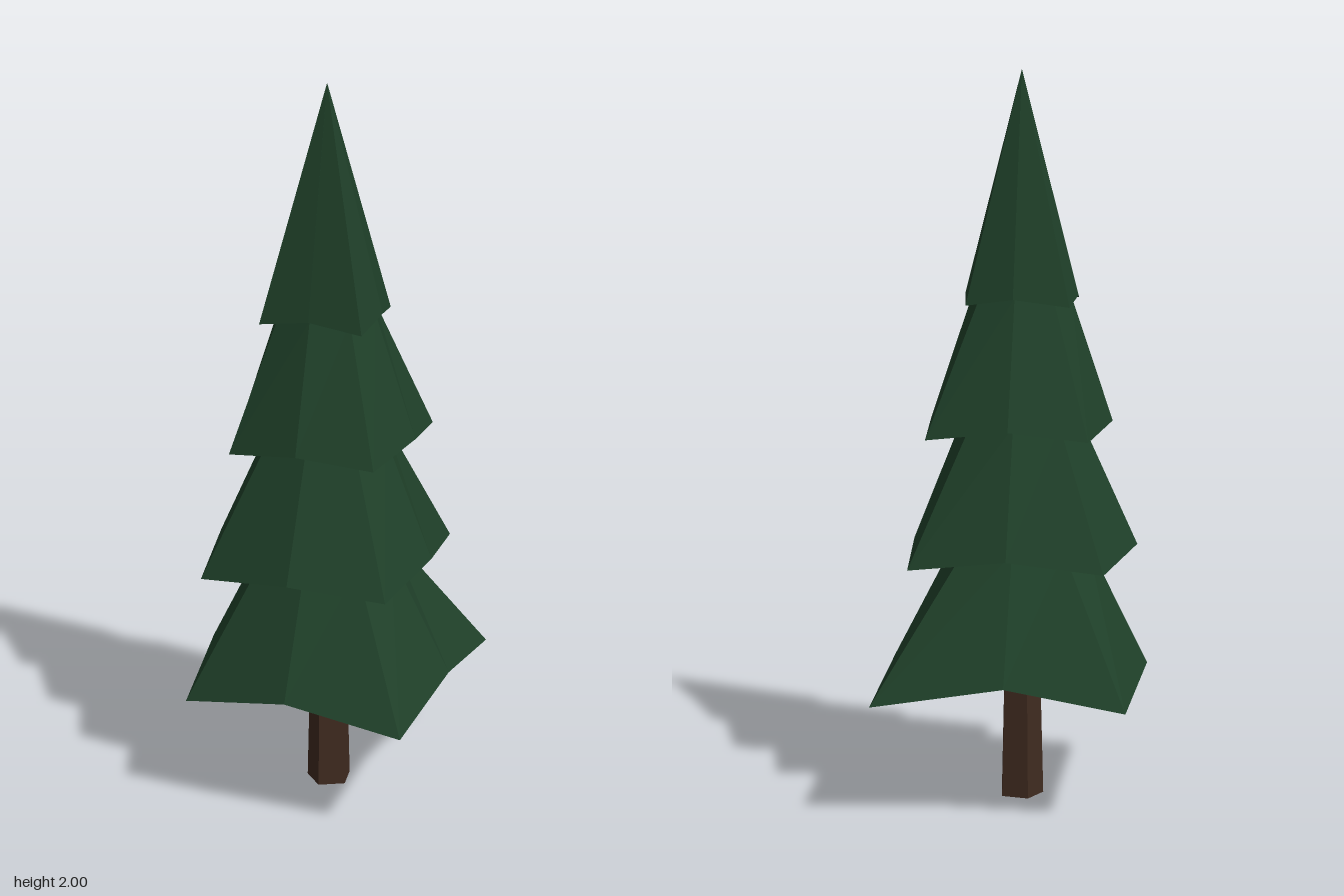
import * as THREE from 'three';

const CX = -0.04; // trunk axis

// Eight-sided loft through rings of { y, r: 8 radii, dy: lift of the odd corners }
function loft(rings) {
  const pos = [], index = [], n = 8;
  for (const { y, r, lift } of rings) {
    for (let i = 0; i < n; i++) {
      const a = (i / n) * Math.PI * 2;
      pos.push(CX + Math.cos(a) * r[i], Array.isArray(y) ? y[i] : y + (i % 2 ? lift : 0), Math.sin(a) * r[i]);
    }
  }
  for (let k = 0; k < rings.length - 1; k++) {
    for (let i = 0; i < n; i++) {
      const a = k * n + i, b = k * n + (i + 1) % n;
      index.push(a, a + n, b, b, a + n, b + n);
    }
  }
  const g = new THREE.BufferGeometry();
  g.setAttribute('position', new THREE.Float32BufferAttribute(pos, 3));
  g.setIndex(index);
  const flat = g.toNonIndexed();
  flat.computeVertexNormals();
  return flat;
}

// Small octagonal ring, slightly drawn in on the diagonals
const ring = (y, r) => ({ y, lift: 0, r: Array.from({ length: 8 }, (_, i) => (i % 2 ? r * 0.96 : r)) });

export function createModel() {
  const tree = new THREE.Group();
  tree.name = 'pineTree';
  const needles = new THREE.MeshStandardMaterial({ color: 0x1f4029, flatShading: true });
  const bark = new THREE.MeshStandardMaterial({ color: 0x402b20, flatShading: true });

  // Tapered five-sided trunk, one corner towards +x
  const trunkGeo = new THREE.CylinderGeometry(0.053, 0.064, 0.42, 5);
  trunkGeo.rotateY(Math.PI / 2);
  const trunk = new THREE.Mesh(trunkGeo, bark);
  trunk.name = 'trunk';
  trunk.position.set(CX + 0.003, 0.21, 0);
  tree.add(trunk);

  // Branch tiers: drooping rim, corners alternate between tips and raised diagonals
  const tiers = [
    { y: 0.33, lift: 0.058, r: [0.505, 0.355, 0.455, 0.34, 0.43, 0.35, 0.455, 0.34], inner: ring(0.4, 0.02), top: ring(0.72, 0.19) },
    { y: 0.685, lift: 0.035, r: [0.38, 0.3, 0.36, 0.315, 0.378, 0.32, 0.36, 0.295], inner: ring(0.72, 0.19), top: ring(1.06, 0.17) },
    { y: 1.03, lift: 0.03, r: [0.32, 0.25, 0.285, 0.245, 0.29, 0.25, 0.292, 0.26], inner: ring(1.06, 0.17), top: ring(1.4, 0.14) },
    { y: 1.38, lift: 0.02, r: [0.187, 0.155, 0.21, 0.145, 0.198, 0.155, 0.21, 0.165], inner: ring(1.4, 0.14), top: ring(2, 0.0005) },
  ];
  tiers.forEach((t, i) => {
    const mesh = new THREE.Mesh(loft([t.inner, t, t.top]), needles);
    mesh.name = `branchTier${i + 1}`;
    tree.add(mesh);
  });
  return tree;
}
